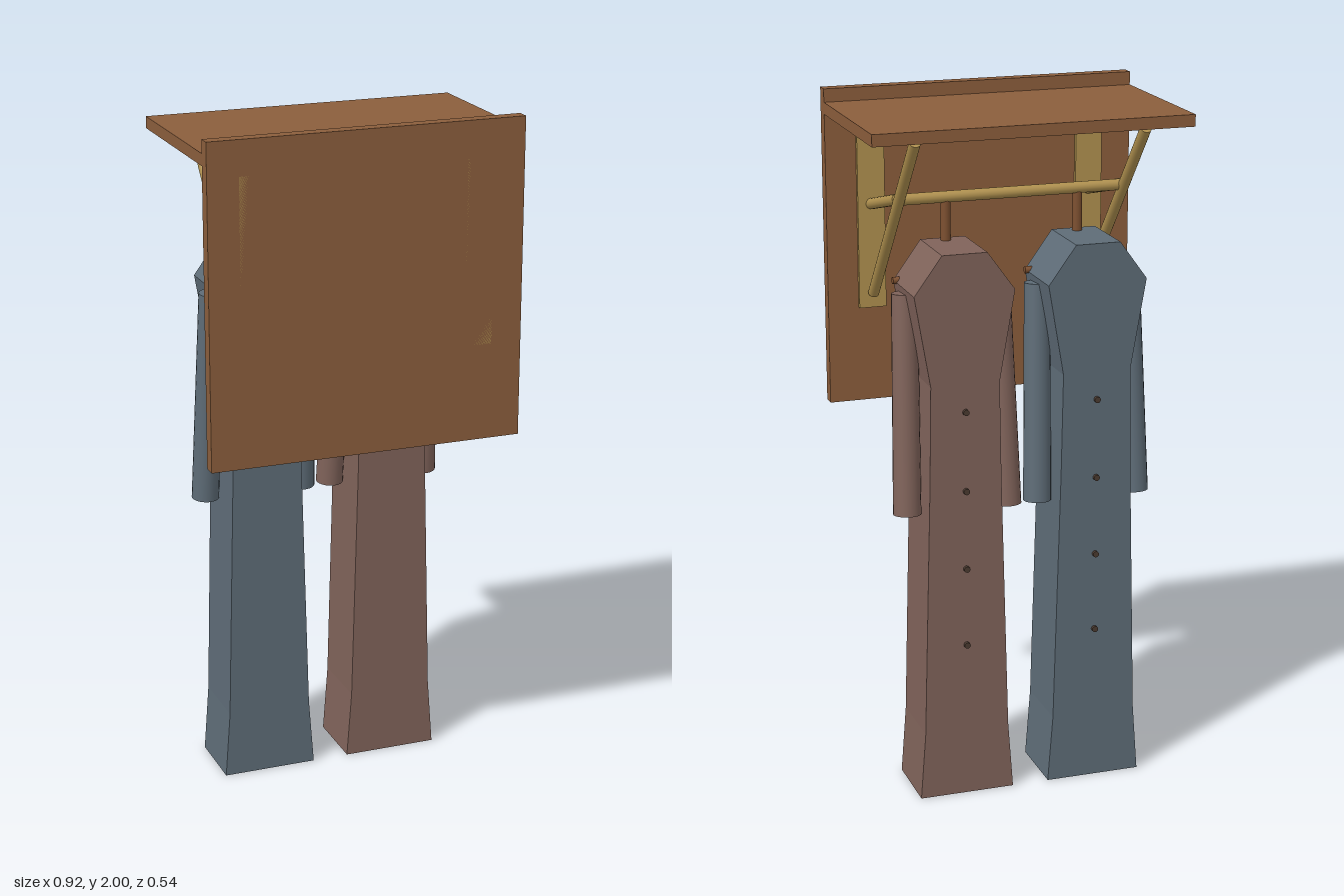
import * as THREE from 'three';

const mat = (color) => new THREE.MeshStandardMaterial({ color });
const board = mat(0x8b5e3c), pale = mat(0xb0914f), hangerWood = mat(0x7d5030), dark = mat(0x4a3a30);

function add(parent, name, geometry, material, x = 0, y = 0, z = 0) {
  const mesh = new THREE.Mesh(geometry, material);
  mesh.name = name;
  mesh.position.set(x, y, z);
  parent.add(mesh);
  return mesh;
}

// Round bar between two points
function bar(parent, name, a, b, r0, r1, material) {
  const from = new THREE.Vector3(...a), to = new THREE.Vector3(...b);
  const dir = to.clone().sub(from);
  const mesh = add(parent, name, new THREE.CylinderGeometry(r1, r0, dir.length(), 20), material);
  mesh.position.copy(from).add(to).multiplyScalar(0.5);
  mesh.quaternion.setFromUnitVectors(new THREE.Vector3(0, 1, 0), dir.normalize());
  return mesh;
}

// Long coat on its hanger, centred on x = 0
function makeCoat(name, color) {
  const coat = new THREE.Group();
  coat.name = name;
  const cloth = mat(color);

  // Body: mirrored half-width profile, extruded front to back
  const half = [[0.14, 0], [0.125, 0.2], [0.105, 0.95], [0.1, 1.24], [0.145, 1.5], [0.065, 1.61]];
  const outline = [...half, ...half.map(([x, y]) => [-x, y]).reverse()];
  const shape = new THREE.Shape(outline.map(([x, y]) => new THREE.Vector2(x, y)));
  const body = new THREE.ExtrudeGeometry(shape, { depth: 0.205, bevelEnabled: false });
  add(coat, 'coatBody', body, cloth, 0, 0, -0.228);

  // Sleeves
  for (const s of [-1, 1])
    bar(coat, 'sleeve', [s * 0.149, 0.85, -0.148], [s * 0.135, 1.48, -0.1], 0.04, 0.037, cloth);

  // Buttons down the opening
  for (let i = 0; i < 4; i++) {
    const button = add(coat, 'button', new THREE.CylinderGeometry(0.009, 0.009, 0.014, 12), dark,
      0, 1.16 - i * 0.232, -0.231);
    button.rotation.x = Math.PI / 2;
  }

  // Hanger
  bar(coat, 'hangerPost', [0, 1.5, -0.053], [0, 1.73, -0.053], 0.014, 0.014, hangerWood);
  bar(coat, 'hangerBar', [-0.155, 1.505, -0.05], [0.155, 1.505, -0.05], 0.01, 0.01, hangerWood);
  return coat;
}

export function createModel() {
  const model = new THREE.Group();
  model.name = 'coatRack';

  // Wall panel and shelf
  add(model, 'wallPanel', new THREE.BoxGeometry(0.92, 0.92, 0.038), board, 0, 1.54, 0.249);
  add(model, 'shelf', new THREE.BoxGeometry(0.92, 0.034, 0.5), board, 0, 1.945, -0.02);

  // Bracket on each side: upright, diagonal brace and strut
  for (const s of [-1, 1]) {
    const bracket = new THREE.Group();
    bracket.name = s > 0 ? 'leftBracket' : 'rightBracket';
    const x = s * 0.33;
    add(bracket, 'upright', new THREE.BoxGeometry(0.08, 0.54, 0.05), pale, x, 1.63, 0.243);
    bar(bracket, 'brace', [x, 1.405, 0.21], [x, 1.925, -0.23], 0.016, 0.016, pale);
    bar(bracket, 'strut', [x, 1.665, 0.22], [x, 1.735, -0.055], 0.016, 0.016, pale);
    model.add(bracket);
  }

  // Hanging rail
  bar(model, 'rail', [-0.335, 1.733, -0.055], [0.335, 1.733, -0.055], 0.016, 0.016, pale);

  // Two coats
  const leftCoat = makeCoat('leftCoat', 0x80635a);
  leftCoat.position.x = 0.192;
  const rightCoat = makeCoat('rightCoat', 0x5e6c77);
  rightCoat.position.x = -0.196;
  model.add(leftCoat, rightCoat);
  return model;
}
